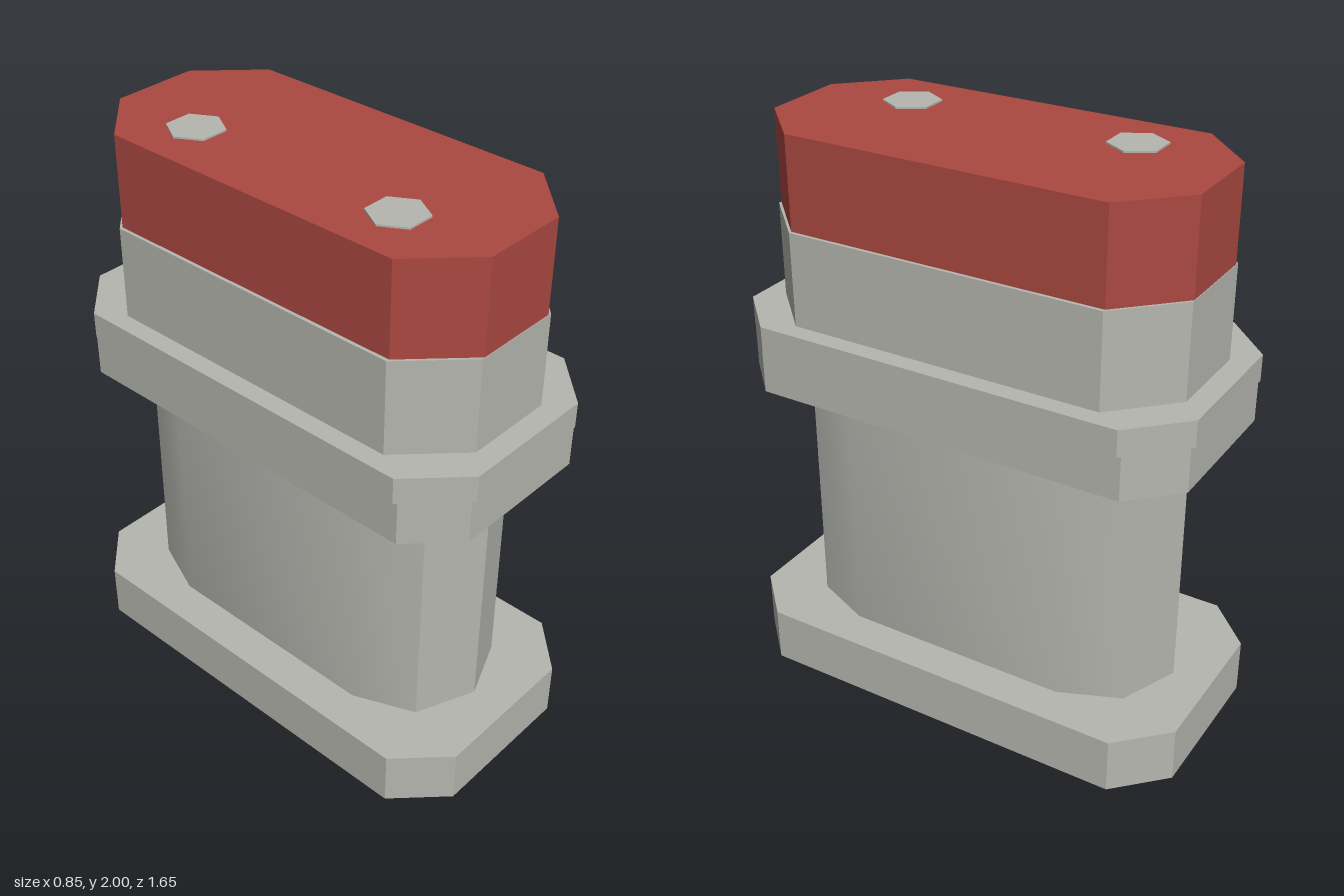
import * as THREE from 'three';
import { toCreasedNormals } from 'three/addons/utils/BufferGeometryUtils.js';

// Upright prism from a plan outline, between heights y0 and y1
function prism(name, points, y0, y1, material) {
  const shape = new THREE.Shape(points.map(([x, z]) => new THREE.Vector2(x, z)));
  const geo = new THREE.ExtrudeGeometry(shape, { depth: y1 - y0, bevelEnabled: false });
  geo.rotateX(-Math.PI / 2);
  geo.translate(0, y0, 0);
  const mesh = new THREE.Mesh(toCreasedNormals(geo, 0.5), material);
  mesh.name = name;
  return mesh;
}

// Rectangle with cut corners: half width, half length, cut size
function cutRect(w, l, c) {
  return [[w, -l + c], [w, l - c], [w - c, l], [-w + c, l],
    [-w, l - c], [-w, -l + c], [-w + c, -l], [w - c, -l]];
}

// Slot outline: straight sides with four-segment half-round ends
function slot(r, straight) {
  const pts = [];
  for (const end of [0, 1]) {
    for (let i = 0; i <= 4; i++) {
      const a = end * Math.PI + i * Math.PI / 4;
      pts.push([r * Math.cos(a), r * Math.sin(a) + (end ? -straight : straight)]);
    }
  }
  return pts;
}

export function createModel() {
  const model = new THREE.Group();
  model.name = 'plugHousing';
  const grey = new THREE.MeshStandardMaterial({ color: 0xb6b6b0 });
  grey.name = 'light grey';
  const red = new THREE.MeshStandardMaterial({ color: 0xab4841 });
  red.name = 'brick red';

  // Stacked cut-corner blocks: name, half width, half length, cut, bottom, top, material
  const layers = [
    ['foot', 0.39, 0.79, 0.145, 0, 0.035, grey],
    ['base', 0.425, 0.825, 0.16, 0.035, 0.23, grey],
    ['lowerCollar', 0.4, 0.8, 0.15, 1.12, 1.27, grey],
    ['upperCollar', 0.41, 0.81, 0.17, 1.27, 1.36, grey],
    ['neck', 0.345, 0.735, 0.187, 1.36, 1.68, grey],
    ['cap', 0.333, 0.733, 0.185, 1.68, 1.994, red],
  ];
  for (const [name, w, l, c, y0, y1, mat] of layers) {
    model.add(prism(name, cutRect(w, l, c), y0, y1, mat));
  }

  // Round-ended shaft between base and collar
  model.add(prism('shaft', slot(0.292, 0.4), 0.23, 1.12, grey));

  // Two hexagonal studs on the cap
  for (const z of [0.4, -0.4]) {
    const stud = new THREE.Mesh(
      new THREE.CylinderGeometry(0.095, 0.095, 0.012, 6).rotateY(Math.PI / 6).toNonIndexed(), grey);
    stud.geometry.computeVertexNormals();
    stud.name = 'capStud';
    stud.position.set(-0.135, 1.994, z);
    model.add(stud);
  }
  return model;
}
